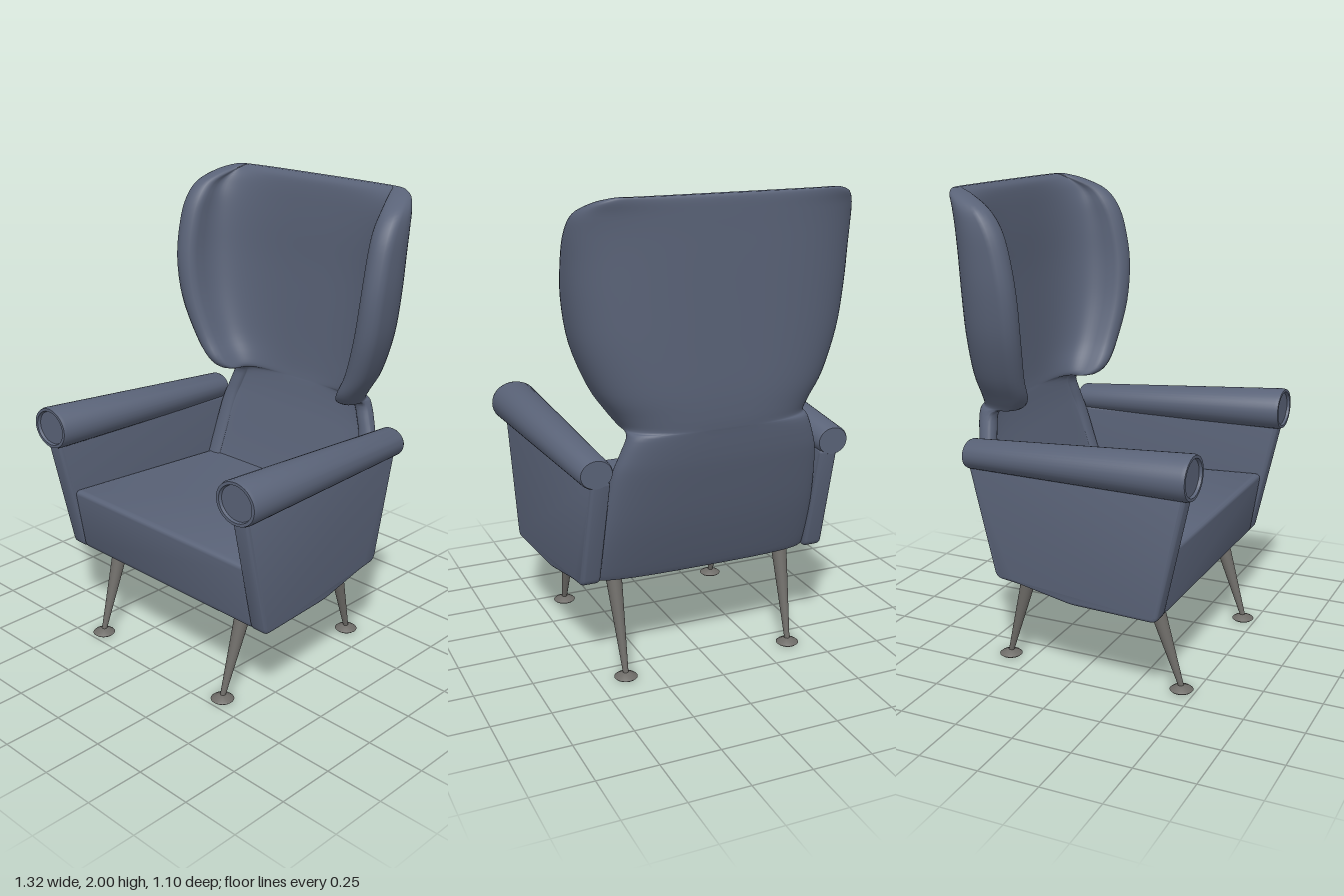
import * as THREE from 'three';
import { toCreasedNormals } from 'three/addons/utils/BufferGeometryUtils.js';

const fabric = new THREE.MeshStandardMaterial({ color: 0x5a6378 });
const metal = new THREE.MeshStandardMaterial({ color: 0x6e6c68 });

function addMesh(parent, name, geometry, material) {
  const mesh = new THREE.Mesh(geometry, material);
  mesh.name = name;
  parent.add(mesh);
  return mesh;
}

// Move every vertex of a geometry by a rule, then rebuild its normals
function deform(geometry, rule) {
  const pos = geometry.attributes.position;
  const v = new THREE.Vector3();
  for (let i = 0; i < pos.count; i++) {
    rule(v.fromBufferAttribute(pos, i));
    pos.setXYZ(i, v.x, v.y, v.z);
  }
  return toCreasedNormals(geometry, 0.65);
}

// Side profile in (z, y) with softened corners
function softShape(corners, r) {
  const pts = corners.map(([z, y]) => new THREE.Vector2(z, y));
  const shape = new THREE.Shape();
  pts.forEach((p, i) => {
    const prev = pts[(i + pts.length - 1) % pts.length];
    const next = pts[(i + 1) % pts.length];
    const a = prev.clone().sub(p).setLength(r).add(p);
    const b = next.clone().sub(p).setLength(r).add(p);
    if (i === 0) shape.moveTo(a.x, a.y);
    else shape.lineTo(a.x, a.y);
    shape.quadraticCurveTo(p.x, p.y, b.x, b.y);
  });
  shape.closePath();
  return shape;
}

// Profile extruded across x, centred on x = 0
function slab(corners, width, r, bevel) {
  const geometry = new THREE.ExtrudeGeometry(softShape(corners, r), {
    depth: width - 2 * bevel, bevelThickness: bevel, bevelSize: bevel,
    bevelOffset: -bevel, bevelSegments: 4, curveSegments: 6,
  });
  return geometry.translate(0, 0, bevel - width / 2).rotateY(-Math.PI / 2);
}

// Backrest sections: height, half width, back z, wing front z, thickness, wing thickness, edge roundness
const backRows = [
  [0.42, 0.45, -0.310, -0.255, 0.040, 0.05, 0.005],
  [0.45, 0.49, -0.335, -0.245, 0.075, 0.07, 0.010],
  [0.67, 0.475, -0.420, -0.320, 0.080, 0.07, 0.015],
  [0.90, 0.45, -0.490, -0.380, 0.085, 0.07, 0.015],
  [1.00, 0.42, -0.515, -0.400, 0.085, 0.07, 0.020],
  [1.08, 0.39, -0.530, -0.400, 0.085, 0.07, 0.020],
  [1.10, 0.395, -0.534, -0.300, 0.085, 0.08, 0.030],
  [1.15, 0.43, -0.540, -0.250, 0.085, 0.09, 0.045],
  [1.25, 0.495, -0.546, -0.232, 0.085, 0.10, 0.050],
  [1.42, 0.56, -0.548, -0.211, 0.080, 0.11, 0.050],
  [1.60, 0.588, -0.550, -0.210, 0.075, 0.11, 0.050],
  [1.76, 0.592, -0.552, -0.236, 0.075, 0.11, 0.050],
  [1.86, 0.588, -0.553, -0.272, 0.072, 0.11, 0.050],
  [1.93, 0.572, -0.554, -0.330, 0.068, 0.10, 0.045],
  [1.975, 0.53, -0.554, -0.420, 0.060, 0.09, 0.035],
  [1.995, 0.48, -0.550, -0.485, 0.040, 0.06, 0.015],
  [2.00, 0.45, -0.542, -0.505, 0.025, 0.04, 0.005],
];

// One closed loop: curved outside, rounded wing tip, curved inside, rounded wing tip
function backLoop([y, w, back, front, t, wing, cap]) {
  const M = 40, C = 8, pts = [];
  const tip = front - cap;
  const arc = (a, hw, depth) => {
    const s = Math.sin(a), c = Math.max(0, Math.cos(a));
    pts.push(new THREE.Vector3(Math.sign(s) * hw * Math.abs(s) ** 0.667, y, tip - depth * c ** 0.667));
  };
  const roundTip = (side, dir) => {
    for (let j = 1; j < C; j++) {
      const a = (Math.PI * j) / C;
      pts.push(new THREE.Vector3(
        side * (w - wing / 2) + side * dir * Math.cos(a) * wing / 2, y, tip + cap * Math.sin(a)));
    }
  };
  for (let k = 0; k <= M; k++) arc(Math.PI * (k / M - 0.5), w, tip - back);
  roundTip(1, 1);
  for (let k = 0; k <= M; k++) arc(Math.PI * (0.5 - k / M), w - wing, Math.max(0.002, tip - back - t));
  roundTip(-1, -1);
  return pts;
}

function backrestGeometry() {
  const spline = new THREE.CubicInterpolant(backRows.map((_, i) => i), backRows.flat(), 7, new Float32Array(7));
  const sub = 4, rows = (backRows.length - 1) * sub;
  const loops = [];
  for (let r = 0; r <= rows; r++) loops.push(backLoop(Array.from(spline.evaluate(r / sub))));
  const n = loops[0].length, index = [];
  for (let r = 0; r < rows; r++) {
    for (let i = 0; i < n; i++) {
      const a = r * n + i, b = r * n + (i + 1) % n;
      index.push(a, a + n, b, b, a + n, b + n);
    }
  }
  // Close the top and the underside
  [[rows, true], [0, false]].forEach(([r, up]) => {
    const flat = loops[r].map((p) => new THREE.Vector2(p.x, -p.z));
    THREE.ShapeUtils.triangulateShape(flat, []).forEach(([a, b, c]) => {
      const f = up ? [a, b, c] : [a, c, b];
      index.push(...f.map((k) => k + r * n));
    });
  });
  const geometry = new THREE.BufferGeometry().setFromPoints(loops.flat());
  geometry.setIndex(index);
  geometry.computeVertexNormals();
  return geometry;
}

// Tapered armrest roll with a slightly recessed front disc
function armRoll(side) {
  const profile = [[0, 0], [0.93, 0], [1, 0.01], [1, 0.985], [0.95, 1], [0.82, 1], [0.78, 0.988], [0, 0.988]];
  const roll = new THREE.LatheGeometry(profile.map(([r, l]) => new THREE.Vector2(r, l)), 36);
  const mix = THREE.MathUtils.lerp;
  return deform(roll.rotateX(Math.PI / 2), (v) => {
    const k = v.z;
    v.set(side * mix(0.522, 0.557, k) + v.x * mix(0.07, 0.105, k),
      mix(0.941, 0.977, k) + v.y * mix(0.061, 0.092, k),
      mix(-0.44, 0.55, k));
  });
}

export function createModel() {
  const chair = new THREE.Group();
  chair.name = 'wingArmchair';

  addMesh(chair, 'backrest', backrestGeometry(), fabric);

  // Seat block, narrowing towards the back
  const seat = slab([[0.42, 0.378], [0.465, 0.67], [-0.36, 0.65], [-0.29, 0.435], [-0.2, 0.42], [0.05, 0.378]],
    1.04, 0.03, 0.015);
  addMesh(chair, 'seat', deform(seat, (v) => { v.x *= 1 - (0.45 - v.z) * 0.13; }), fabric);

  for (const side of [-1, 1]) {
    const label = side > 0 ? 'left' : 'right';

    // Side panel below the armrest
    const panel = slab([[0.418, 0.376], [0.535, 0.91], [-0.445, 0.91], [-0.32, 0.425], [-0.22, 0.418], [0.03, 0.376]],
      0.082, 0.03, 0.015);
    addMesh(chair, label + 'SidePanel',
      deform(panel, (v) => { v.x += side * (0.56 + (v.z - 0.5) * 0.06); }), fabric);
    addMesh(chair, label + 'Armrest', armRoll(side), fabric);

    // Splayed tapered legs with small disc feet
    for (const [name, topZ, topY, footZ] of [['Front', 0.315, 0.40, 0.442], ['Back', -0.235, 0.45, -0.355]]) {
      const leg = new THREE.Group();
      leg.name = label + name + 'Leg';
      chair.add(leg);
      const top = new THREE.Vector3(side * 0.387, topY, topZ);
      const foot = new THREE.Vector3(side * 0.38, 0.015, footZ);
      const axis = top.clone().sub(foot);
      const shaft = addMesh(leg, 'shaft', new THREE.CylinderGeometry(0.036, 0.011, axis.length(), 20), metal);
      shaft.position.copy(top).add(foot).multiplyScalar(0.5);
      shaft.quaternion.setFromUnitVectors(new THREE.Vector3(0, 1, 0), axis.normalize());
      const disc = [[0, 0], [0.042, 0], [0.049, 0.006], [0.042, 0.012], [0.015, 0.024], [0, 0.026]];
      const pad = addMesh(leg, 'footDisc', toCreasedNormals(
        new THREE.LatheGeometry(disc.map(([r, y]) => new THREE.Vector2(r, y)), 24), 0.65), metal);
      pad.position.set(foot.x, 0, foot.z);
    }
  }
  return chair;
}
